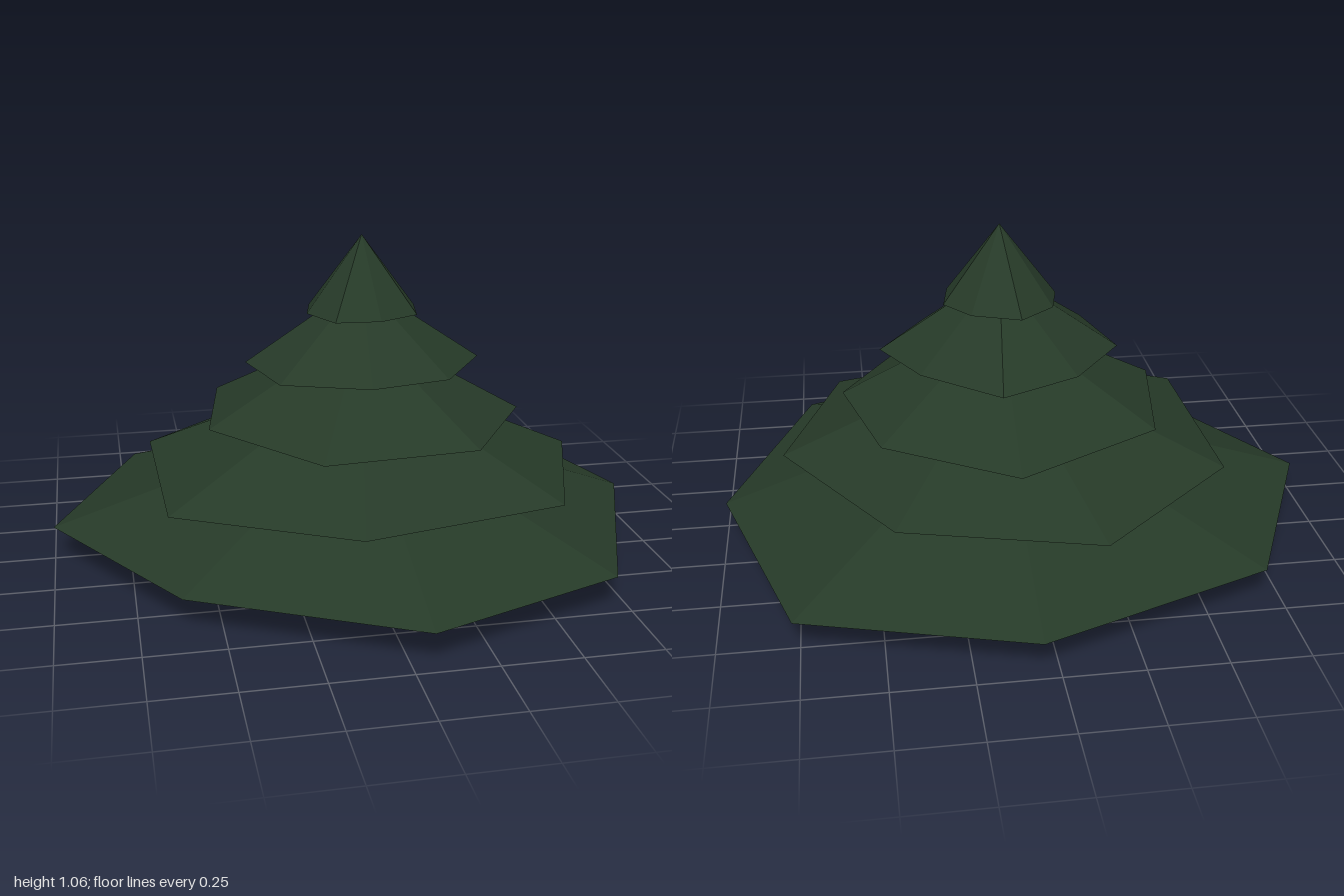
import * as THREE from 'three';

const APEX_X = 0.055, APEX_Z = -0.025;

// Irregular closed cone: a ring of [x, z] corners at height y, rising to a point
function tierGeometry(ring, y, topY) {
  const pos = [];
  const cx = APEX_X, cz = APEX_Z;
  ring.forEach(([x, z], i) => {
    const [nx, nz] = ring[(i + 1) % ring.length];
    pos.push(cx, topY, cz, nx, y, nz, x, y, z); // sloping side
    pos.push(cx, y, cz, x, y, z, nx, y, nz); // flat underside
  });
  const geometry = new THREE.BufferGeometry();
  geometry.setAttribute('position', new THREE.Float32BufferAttribute(pos, 3));
  geometry.computeVertexNormals();
  return geometry;
}

// Branch tiers from the ground up, corners running clockwise from the back
const TIERS = [
  { y: 0.105, top: 0.444, ring: [[0.05, -0.98], [0.77, -0.775], [1, -0.03], [0.71, 0.72],
    [0.065, 0.97], [-0.62, 0.615], [-1, -0.015], [-0.7, -0.69]] },
  { y: 0.28, top: 0.605, ring: [[-0.18, -0.76], [0.45, -0.595], [0.795, -0.04], [0.595, 0.54],
    [-0.08, 0.695], [-0.64, 0.395], [-0.655, -0.325]] },
  { y: 0.455, top: 0.75, ring: [[0.065, -0.63], [0.475, -0.37], [0.585, 0.06], [0.335, 0.465],
    [-0.17, 0.51], [-0.48, 0.1], [-0.405, -0.365]] },
  { y: 0.63, top: 0.9, ring: [[0.095, -0.43], [0.335, -0.225], [0.455, 0.005], [0.285, 0.265],
    [0.02, 0.325], [-0.26, 0.22], [-0.335, -0.07], [-0.16, -0.305]] },
  { y: 0.805, top: 1.06, ring: [[0.01, -0.235], [0.165, -0.175], [0.245, -0.065], [0.22, 0.085],
    [0.085, 0.155], [-0.065, 0.145], [-0.135, 0], [-0.105, -0.135]] },
];

export function createModel() {
  const tree = new THREE.Group();
  tree.name = 'pineTree';

  const green = new THREE.MeshStandardMaterial({ color: 0x263a28 });
  green.name = 'dark pine green';
  green.flatShading = true;

  // Tapered trunk
  const trunk = new THREE.Mesh(new THREE.CylinderGeometry(0.036, 0.045, 0.15, 7), green);
  trunk.name = 'trunk';
  trunk.position.set(APEX_X, 0.075, APEX_Z);
  tree.add(trunk);

  // Stacked branch tiers
  TIERS.forEach(({ y, top, ring }, i) => {
    const tier = new THREE.Mesh(tierGeometry(ring, y, top), green);
    tier.name = `branchTier${i + 1}`;
    tree.add(tier);
  });

  return tree;
}
